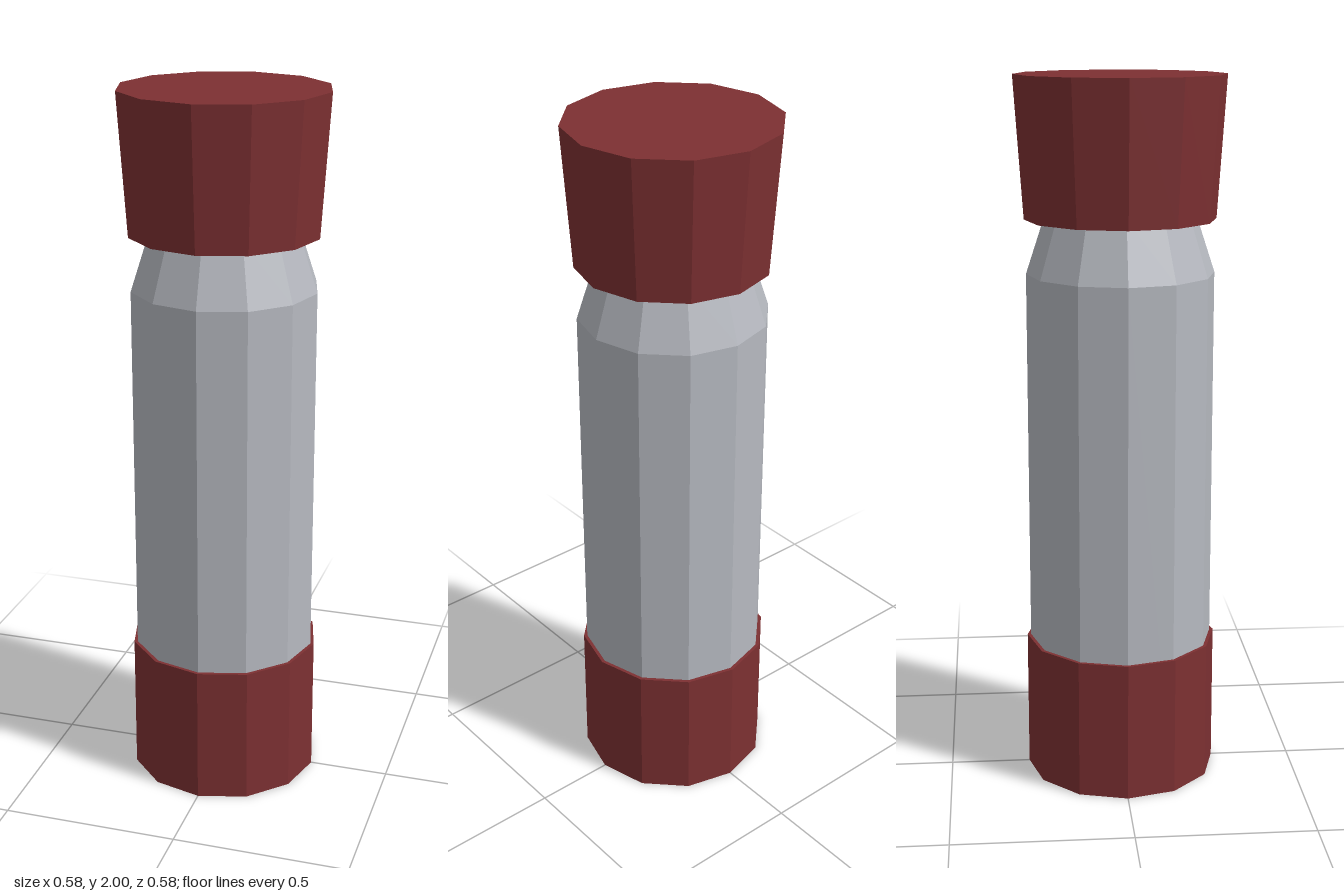
import * as THREE from 'three';

const SIDES = 12;

// Faceted turned part from [radius, height] points, listed from bottom to top
function turned(name, profile, material) {
  const points = profile.map(([r, y]) => new THREE.Vector2(r, y));
  const mesh = new THREE.Mesh(new THREE.LatheGeometry(points, SIDES), material);
  mesh.name = name;
  return mesh;
}

export function createModel() {
  const red = new THREE.MeshStandardMaterial({ color: 0x7d3032, flatShading: true });
  red.name = 'dark red';
  const grey = new THREE.MeshStandardMaterial({ color: 0xb6b9c0, flatShading: true });
  grey.name = 'light grey';

  const group = new THREE.Group();
  group.name = 'flask';

  // Straight body with a tapered shoulder that runs up into the cap
  group.add(turned('body', [[0, 0], [0.262, 0], [0.262, 1.46], [0.206, 1.63], [0, 1.63]], grey));

  // Sleeve around the foot of the body
  group.add(turned('baseSleeve', [[0.262, 0], [0.272, 0], [0.272, 0.4], [0.262, 0.4]], red));

  // Cap flaring towards the top
  group.add(turned('cap', [[0, 1.61], [0.266, 1.61], [0.292, 2], [0, 2]], red));

  return group;
}
